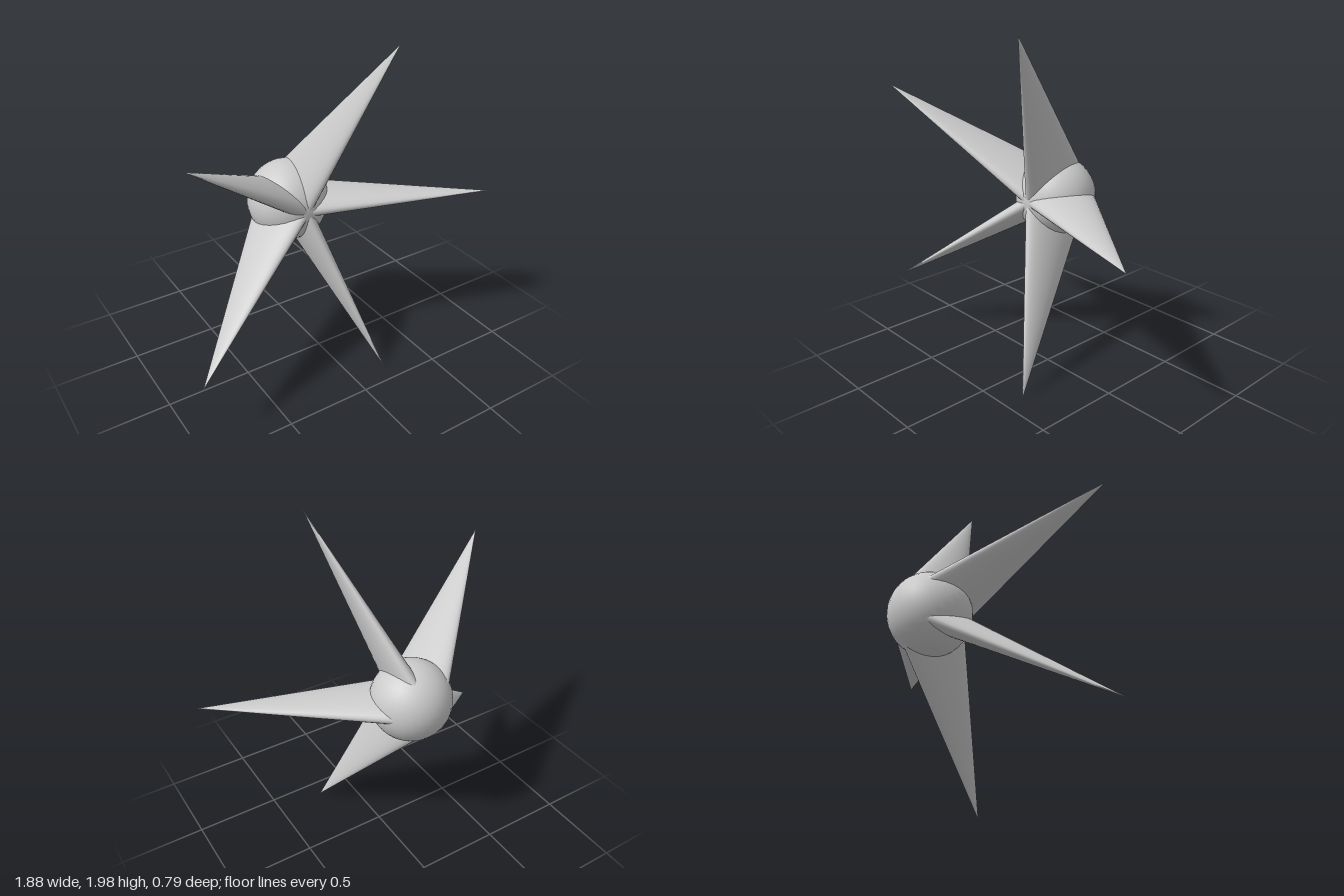
import * as THREE from 'three';

const CORE = { x: -0.107, y: 1, z: -0.163, radius: 0.235 };
const TIP = { reach: 1.04, z: 0.393 };
const SPIKES = 5;

// Flattened cone leaning forward from the core, apex at (reach, 0, z)
function spikeGeometry() {
  const length = 1.1, halfDepth = 0.207, flatness = 0.34;
  const lean = THREE.MathUtils.degToRad(28.3);
  const geometry = new THREE.ConeGeometry(halfDepth, length, 32, 6);
  geometry.translate(0, -length / 2, 0);
  geometry.scale(1, 1, flatness);
  geometry.rotateZ(-Math.PI / 2);
  geometry.rotateX(Math.PI / 2);
  geometry.rotateY(-lean);
  geometry.translate(TIP.reach, 0, TIP.z);
  return geometry;
}

export function createModel() {
  const model = new THREE.Group();
  model.name = 'spikedStar';
  const material = new THREE.MeshStandardMaterial({ color: 0xcccccc });

  // Round core
  const core = new THREE.Mesh(new THREE.SphereGeometry(CORE.radius, 32, 20), material);
  core.name = 'core';
  core.position.set(CORE.x, CORE.y, CORE.z);
  model.add(core);

  // Ring of identical spikes around the core's front-to-back axis
  const spikes = new THREE.Group();
  spikes.name = 'spikes';
  spikes.position.set(CORE.x, CORE.y, 0);
  const geometry = spikeGeometry();
  for (let i = 0; i < SPIKES; i++) {
    const spike = new THREE.Mesh(geometry, material);
    spike.name = `spike${i + 1}`;
    spike.rotation.z = (i * 2 * Math.PI) / SPIKES;
    spikes.add(spike);
  }
  model.add(spikes);

  return model;
}
